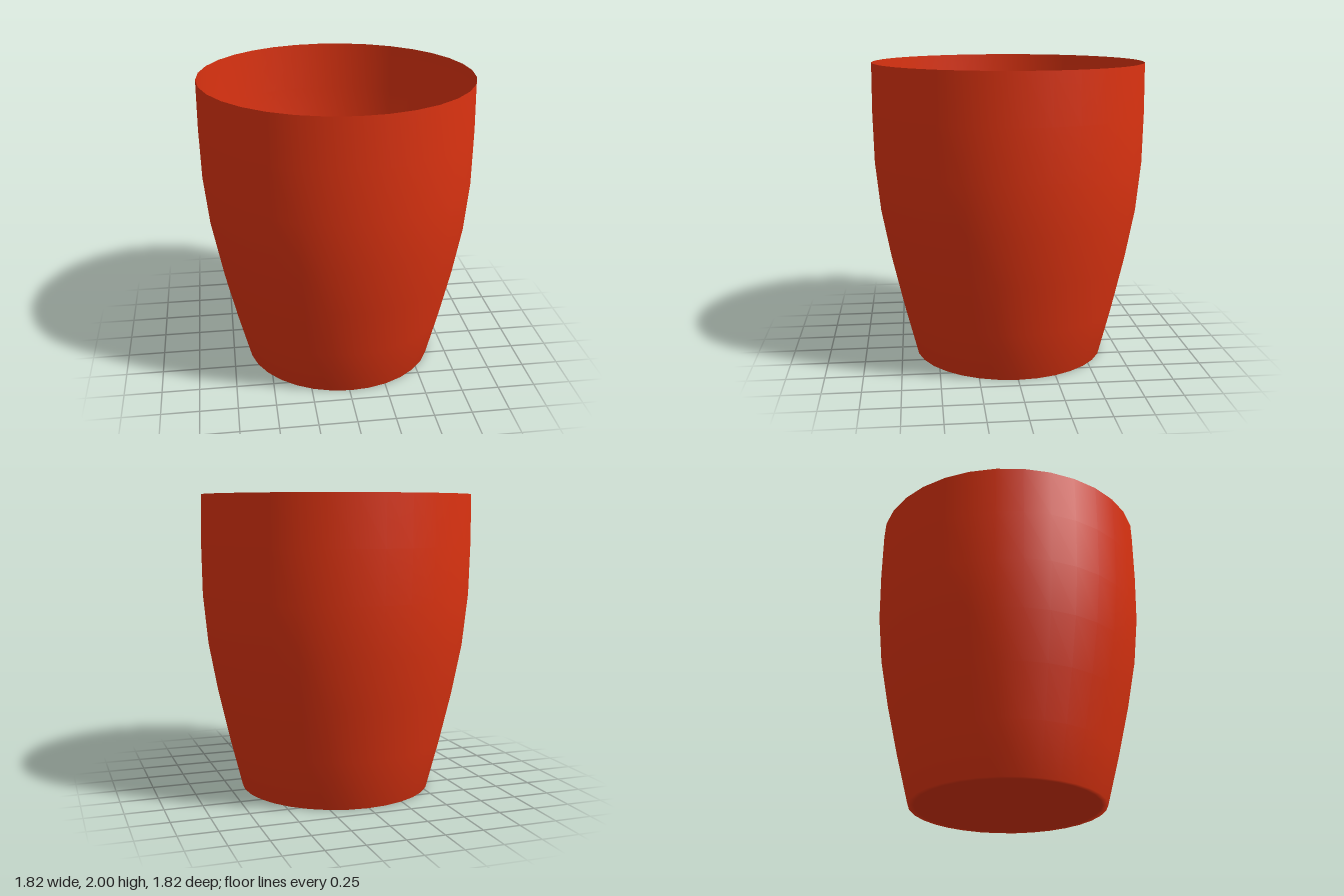
import * as THREE from 'three';

export function createModel() {
  const group = new THREE.Group();
  group.name = 'cup';

  // Profile as [radius, height]: flat base, then the swelling wall up to the rim
  const profile = [
    [0, 0], [0.61, 0], [0.648, 0], [0.732, 0.33], [0.81, 0.67],
    [0.872, 1], [0.905, 1.33], [0.912, 1.67], [0.909, 2],
  ].map(([r, y]) => new THREE.Vector2(r, y));

  const geometry = new THREE.LatheGeometry(profile, 32);

  // The base sits very slightly off the rim's axis
  const p = geometry.attributes.position;
  for (let i = 0; i < p.count; i++) {
    p.setX(i, p.getX(i) + 0.012 * (1 - p.getY(i) / 2) - 0.002);
  }

  // Thin single-skin wall and base
  const cup = new THREE.Mesh(geometry, new THREE.MeshStandardMaterial({
    color: 0xdd3311,
    side: THREE.DoubleSide,
  }));
  cup.name = 'cupBody';
  group.add(cup);
  return group;
}
